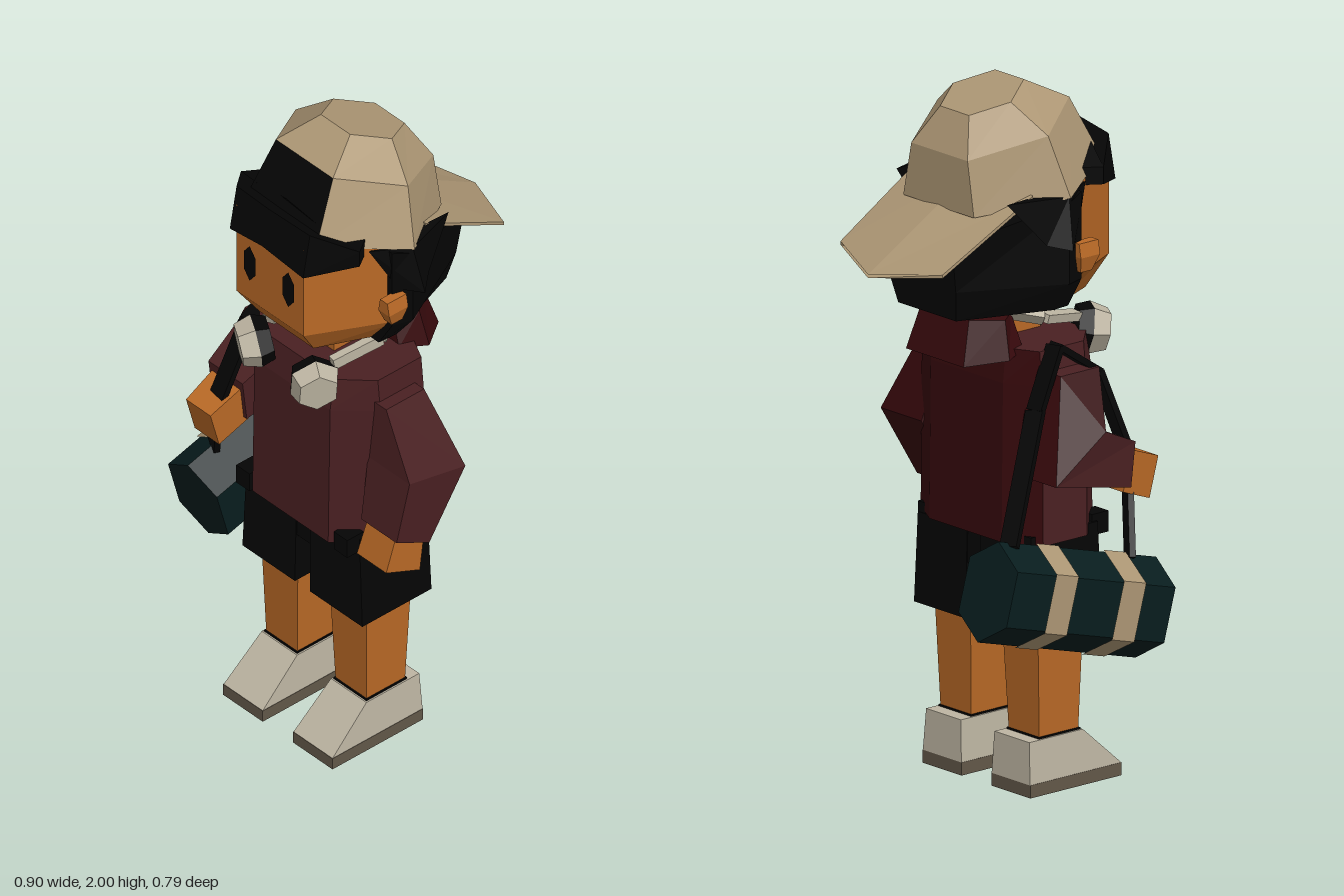
import * as THREE from 'three';

const mat = (name, color) => {
  const m = new THREE.MeshStandardMaterial({ color, flatShading: true });
  m.name = name;
  return m;
};

export function createModel() {
  const skin = mat('skin', 0xb96926), tan = mat('capTan', 0xac9674), black = mat('black', 0x050505);
  const jacket = mat('jacket', 0x4a2022), deepRed = mat('deepRed', 0x37090c), teal = mat('bagTeal', 0x081d1e);
  const grey = mat('lightGrey', 0xbdb5a2), sole = mat('sole', 0x625849);

  const model = new THREE.Group();
  model.name = 'character';
  const body = new THREE.Group(); // symmetric parts share one centre line
  body.name = 'body';
  body.position.x = 0.055;
  model.add(body);

  const add = (parent, name, geo, material, x = 0, y = 0, z = 0) => {
    const m = new THREE.Mesh(geo, material);
    m.name = name;
    m.position.set(x, y, z);
    parent.add(m);
    return m;
  };

  // Skin a solid through rings of [x, y, z]; pick(level, side) chooses a material, -1 leaves a hole.
  // Caps are level -1. Winding is set from the signed volume.
  function loft(parent, name, rings, mats, pick = () => 0) {
    const list = Array.isArray(mats) ? mats : [mats];
    const n = rings[0].length, tris = [];
    for (let l = 0; l < rings.length - 1; l++) for (let i = 0; i < n; i++) {
      const j = (i + 1) % n, [a, b, c, d] = [rings[l][i], rings[l][j], rings[l + 1][j], rings[l + 1][i]];
      tris.push([pick(l, i), a, b, c], [pick(l, i), a, c, d]);
    }
    for (let i = 1; i < n - 1; i++) {
      const p = rings[0], q = rings[rings.length - 1];
      tris.push([pick(-1, 0), p[0], p[i + 1], p[i]], [pick(-1, 1), q[0], q[i], q[i + 1]]);
    }
    const v = (p) => new THREE.Vector3(...p), o = v(rings[0][0]);
    const volume = tris.reduce((s, [, a, b, c]) => s + v(a).sub(o).dot(v(b).sub(o).cross(v(c).sub(o))), 0);
    const pos = [], geo = new THREE.BufferGeometry();
    list.forEach((_, k) => {
      const start = pos.length / 3;
      for (const [g, a, b, c] of tris) if (g === k) pos.push(...a, ...(volume > 0 ? b : c), ...(volume > 0 ? c : b));
      geo.addGroup(start, pos.length / 3 - start, k);
    });
    geo.setAttribute('position', new THREE.Float32BufferAttribute(pos, 3));
    geo.computeVertexNormals();
    return add(parent, name, geo, list.length > 1 ? list : list[0]);
  }
  // Ring from left-hand [x, z] points, front to back, mirrored; y may depend on z
  const mirrorRing = (half, y) => [...half, ...half.slice().reverse().map(([x, z]) => [-x, z])]
    .map(([x, z]) => [x, typeof y === 'function' ? y(z) : y, z]);
  // Rectangular limb section pitched by a about x
  const sec = (x, y, z, w, d, a = 0) => [[1, 1], [1, -1], [-1, -1], [-1, 1]].map(([i, k]) =>
    [x + i * w / 2, y + k * d / 2 * Math.sin(a), z + k * d / 2 * Math.cos(a)]);
  // Flat bar from a to b
  function bar(parent, name, a, b, w, t, material) {
    const p = new THREE.Vector3(...a), q = new THREE.Vector3(...b);
    const m = add(parent, name, new THREE.BoxGeometry(w, t, p.distanceTo(q)), material);
    m.position.copy(p).lerp(q, 0.5);
    m.quaternion.setFromUnitVectors(new THREE.Vector3(0, 0, 1), q.sub(p).normalize());
  }

  // Head and neck
  const face = [[0.137, 0.362], [0.272, 0.1], [0.13, -0.1]];
  loft(body, 'head', [
    mirrorRing([[0.11, 0.3], [0.2, 0.1], [0.1, -0.06]], 1.38),
    mirrorRing(face, 1.47), mirrorRing(face, (z) => 1.7 + 0.19 * z)], skin);
  add(body, 'neck', new THREE.BoxGeometry(0.12, 0.16, 0.12), skin, 0, 1.32, 0.12);

  // Cap with an open front panel showing hair
  loft(body, 'cap', [
    mirrorRing([[0.147, 0.325], [0.29, 0.09], [0.147, -0.138]], (z) => 1.7 + 0.19 * z),
    mirrorRing([[0.117, 0.235], [0.23, 0.06], [0.117, -0.135]], (z) => 1.87 + 0.3 * z),
    mirrorRing([[0.06, 0.12], [0.12, 0.02], [0.06, -0.08]], (z) => 1.962 + 0.32 * z)],
  [tan, black], (l, i) => ((l === 0 && i === 5) || (l === -1 && i === 0) ? 1 : 0));
  const brim = (w, y, z, yc, zc) => [[-w, y, z], [0, yc, zc], [w, y, z],
    [w, y - 0.01, z], [0, yc - 0.01, zc], [-w, y - 0.01, z]];
  loft(body, 'capBrim', [brim(0.235, 1.73, 0, 1.76, 0), brim(0.212, 1.56, -0.31, 1.53, -0.395)], tan);

  // Hair, sloping down under the brim
  loft(body, 'backHair', [
    mirrorRing([[0.21, 0.15], [0.215, 0.09], [0.12, -0.18]], 1.38),
    mirrorRing([[0.265, 0.15], [0.284, 0.09], [0.14, -0.198]], 1.47),
    mirrorRing([[0.265, 0.15], [0.284, 0.09], [0.15, -0.22]], (z) => 1.675 + 0.3 * z)], black);
  const fringe = [[-0.243, 0.25], [-0.15, 0.375], [0, 0.392], [0.15, 0.375], [0.243, 0.25],
    [0.21, 0.2], [0.12, 0.3], [0, 0.3], [-0.12, 0.3], [-0.21, 0.2]];
  const low = [1.715, 1.685, 1.72, 1.685, 1.715], high = [1.765, 1.82, 1.835, 1.82, 1.765];
  const fringeRing = (ys, back) => fringe.map(([x, z], i) =>
    [x, ys[i < 5 ? i : 9 - i], i > 0 && i < 4 ? z - back : z]);
  loft(body, 'fringe', [fringeRing(low, 0), fringeRing(high, 0.025)], black);

  for (const s of [-1, 1]) {
    loft(body, 'sideLock', [
      [[s * 0.27, 1.59, 0.02], [s * 0.317, 1.575, 0.075], [s * 0.27, 1.59, 0.13]],
      [[s * 0.23, 1.72, -0.09], [s * 0.283, 1.72, 0.09], [s * 0.225, 1.73, 0.2]]], black);
    loft(body, 'ear', [sec(s * 0.27, 1.495, 0.15, 0.03, 0.04), sec(s * 0.275, 1.54, 0.155, 0.045, 0.07),
      sec(s * 0.275, 1.58, 0.155, 0.03, 0.07)], skin);
    const eye = new THREE.CircleGeometry(1, 6, Math.PI / 6);
    eye.scale(0.027, 0.06, 1);
    add(body, 'eye', eye, black, s * 0.079, 1.6, 0.366);
  }

  // Jacket and lowered hood
  const torso = (w, f, b) => [[0.155, f], [w, 0.18], [w, 0.02], [0.15, b]];
  loft(body, 'jacketBody', [mirrorRing(torso(0.255, 0.287, -0.04), 0.725),
    mirrorRing(torso(0.25, 0.28, -0.035), 1.18), mirrorRing(torso(0.24, 0.265, -0.025), 1.28)],
  [jacket, deepRed], (l, i) => (l >= 0 && i >= 2 && i <= 4 ? 1 : 0));
  loft(body, 'hood', [
    mirrorRing([[0.16, 0.03], [0.195, -0.05], [0.12, -0.152]], (z) => 1.265 + 0.15 * z),
    mirrorRing([[0.12, 0.02], [0.165, -0.04], [0.1, -0.115]], 1.365)], deepRed);

  // Headphones resting on the neck, turned a little to one side
  const band = [[-0.13, 1.315, 0.25], [-0.165, 1.345, 0.1], [-0.1, 1.37, 0.0],
    [0.1, 1.37, 0.0], [0.165, 1.345, 0.1], [0.13, 1.315, 0.25]];
  for (let i = 0; i < 5; i++) bar(body, 'headphoneBand', band[i], band[i + 1], 0.025, 0.035, grey);
  for (const [x, dir] of [[-0.13, [-0.5, -0.15, 0.85]], [0.12, [0.85, -0.1, 0.45]]]) {
    const cup = new THREE.Group();
    cup.name = 'headphoneCup';
    cup.position.set(x, 1.268, 0.305);
    cup.quaternion.setFromUnitVectors(new THREE.Vector3(0, 1, 0), new THREE.Vector3(...dir).normalize());
    body.add(cup);
    add(cup, 'cupShell', new THREE.CylinderGeometry(0.06, 0.075, 0.05, 6), grey, 0, 0.018);
    add(cup, 'cupCushion', new THREE.CylinderGeometry(0.075, 0.062, 0.04, 6), black, 0, -0.027);
  }

  // Shorts, legs and shoes
  add(body, 'shortsWaist', new THREE.BoxGeometry(0.47, 0.13, 0.245), black, 0, 0.685, 0.115);
  for (const s of [-1, 1]) {
    loft(body, 'shortsLeg', [sec(s * 0.138, 0.46, 0.115, 0.215, 0.255), sec(s * 0.13, 0.72, 0.115, 0.205, 0.25)], black);
    add(body, 'hemFlap', new THREE.BoxGeometry(0.055, 0.06, 0.06), black, s * 0.2, 0.74, 0.252);
    loft(body, 'leg', [sec(s * 0.142, 0.13, 0.12, 0.125, 0.14), sec(s * 0.14, 0.48, 0.118, 0.15, 0.165)], skin);
    add(body, 'sock', new THREE.BoxGeometry(0.135, 0.02, 0.15), black, s * 0.142, 0.152, 0.12);
    loft(body, 'shoe', [sec(s * 0.143, 0.037, 0.166, 0.16, 0.332), sec(s * 0.142, 0.157, 0.102, 0.145, 0.195)], grey);
    add(body, 'shoeSole', new THREE.BoxGeometry(0.162, 0.037, 0.333), sole, s * 0.143, 0.0185, 0.1665);
  }

  // Arms: the left hangs, the right bends forward to hold the strap
  const redBack = (l, i) => (l >= 0 && i === 1 ? 1 : 0);
  loft(model, 'leftSleeve', [sec(0.295, 1.21, 0.12, 0.09, 0.14), sec(0.365, 1.0, 0.1, 0.17, 0.21, 0.2),
    sec(0.366, 0.8, 0.18, 0.145, 0.135, 0.46)], [jacket, deepRed], redBack);
  loft(model, 'leftHand', [sec(0.365, 0.82, 0.175, 0.115, 0.11, 0.4), sec(0.36, 0.7, 0.2, 0.12, 0.135, 0.4)], skin);
  loft(model, 'rightSleeve', [sec(-0.19, 1.22, 0.11, 0.12, 0.14), sec(-0.27, 1.01, 0.02, 0.175, 0.22, 0.6),
    sec(-0.265, 0.95, 0.23, 0.14, 0.13, 1.45)], [jacket, deepRed], (l, i) => (l === 0 && i !== 3 ? 1 : 0));
  loft(model, 'rightHand', [sec(-0.265, 0.93, 0.22, 0.115, 0.12, 1.3), sec(-0.262, 0.89, 0.325, 0.1, 0.12, 1.3)], skin);

  // Tilted hexagonal bag with bands on its outer faces
  const bag = new THREE.Group();
  bag.name = 'bag';
  bag.position.set(-0.35, 0.617, -0.025);
  bag.rotation.x = 0.27;
  model.add(bag);
  const hex = (z, g = 0) => [[0, 0.142], [-0.1, 0.078], [-0.1, -0.078], [0, -0.142], [0.1, -0.078], [0.1, 0.078]]
    .map(([x, y]) => [x + Math.sign(x) * g, y + Math.sign(y) * g, z]);
  loft(bag, 'bagBody', [hex(-0.298), hex(0.298)], teal);
  for (const z of [-0.115, 0.14])
    loft(bag, 'bagBand', [hex(z - 0.042, 0.005), hex(z + 0.042, 0.005)], tan, (l, i) => (l === 0 && i < 3 ? 0 : -1));

  // Shoulder strap from the bag's rear, over the shoulder, through the hand to its front
  const strap = [[-0.355, 0.81, -0.24], [-0.225, 1.13, -0.03], [-0.205, 1.295, 0.06],
    [-0.215, 1.2, 0.2], [-0.25, 0.96, 0.28], [-0.355, 0.69, 0.2]];
  for (let i = 0; i < strap.length - 1; i++) bar(model, 'strap', strap[i], strap[i + 1], 0.055, 0.018, black);

  return model;
}
